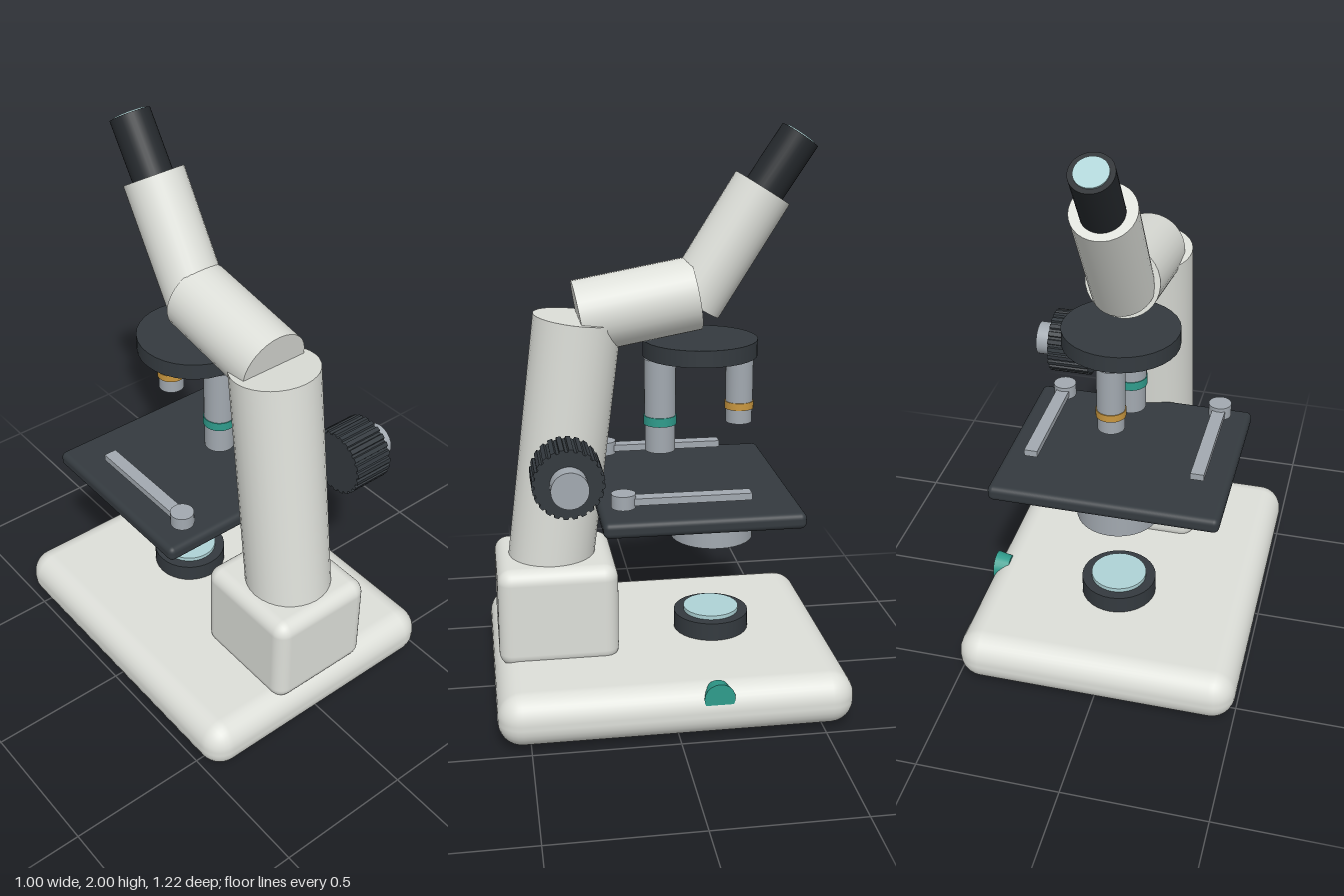
import * as THREE from 'three';
import { RoundedBoxGeometry } from 'three/addons/geometries/RoundedBoxGeometry.js';

const paint = (color) => new THREE.MeshStandardMaterial({ color });
const enamel = paint(0xdddfd9), dark = paint(0x343a3f), black = paint(0x25292d), steel = paint(0xa2a9b0);
const teal = paint(0x2f9c8c), amber = paint(0xc9973f), glass = paint(0xaed3d6);

export function createModel() {
  const model = new THREE.Group();

  const add = (name, geometry, material, x = 0, y = 0, z = 0, parent = model) => {
    const mesh = new THREE.Mesh(geometry, material);
    mesh.name = name;
    mesh.position.set(x, y, z);
    parent.add(mesh);
    return mesh;
  };
  // Upright cylinder between two heights
  const disc = (name, r, y0, y1, material, x = 0, z = 0, parent = model) =>
    add(name, new THREE.CylinderGeometry(r, r, y1 - y0, 32), material, x, (y0 + y1) / 2, z, parent);
  // Cylinder running between two [x, y, z] points
  const rod = (name, a, b, r0, r1, material, sides = 32) => {
    const from = new THREE.Vector3(...a), to = new THREE.Vector3(...b);
    const axis = to.clone().sub(from);
    const mesh = add(name, new THREE.CylinderGeometry(r1, r0, axis.length(), sides), material);
    mesh.position.copy(from).add(to).multiplyScalar(0.5);
    mesh.quaternion.setFromUnitVectors(new THREE.Vector3(0, 1, 0), axis.normalize());
    return mesh;
  };
  const box = (name, w, h, d, r, material, x, y, z) =>
    add(name, new RoundedBoxGeometry(w, h, d, 4, r), material, x, y, z);

  // Base, feet and pillar block
  box('base', 1, 0.185, 1.22, 0.085, enamel, 0, 0.0975, 0);
  for (const x of [-0.34, 0.34])
    for (const z of [-0.43, 0.43]) disc('foot', 0.075, 0, 0.03, black, x, z);
  box('pillarBlock', 0.4, 0.36, 0.42, 0.05, enamel, 0, 0.34, 0.38);

  // Lamp and power switch on the base
  disc('lampHousing', 0.135, 0.17, 0.255, dark, 0, -0.188);
  disc('lampLens', 0.1, 0.25, 0.27, glass, 0, -0.188);
  rod('powerSwitch', [0.44, 0.155, -0.13], [0.495, 0.155, -0.13], 0.042, 0.053, teal, 20);

  // Arm, head and viewing tube
  rod('arm', [0, 0.4, 0.405], [0, 1.363, 0.284], 0.152, 0.152, enamel);
  rod('head', [0, 1.363, 0.281], [0, 1.435, -0.119], 0.127, 0.127, enamel);
  rod('viewingTube', [0, 1.406, -0.111], [0, 1.788, -0.35], 0.107, 0.107, enamel);
  rod('eyepiece', [0, 1.76, -0.34], [0, 1.961, -0.474], 0.071, 0.071, black);
  rod('eyepieceLens', [0, 1.953, -0.469], [0, 1.965, -0.477], 0.054, 0.054, glass);

  // Nosepiece with two objectives
  disc('nosepiece', 0.2, 1.22, 1.278, dark, 0, -0.14);
  const objectives = [
    { z: 0, r: 0.055, bottom: 0.88, band: [0.976, 1.008], ring: teal },
    { z: -0.281, r: 0.048, bottom: 0.972, band: [1.022, 1.048], ring: amber },
  ];
  for (const { z, r, bottom, band, ring } of objectives) {
    const objective = new THREE.Group();
    objective.name = 'objective';
    model.add(objective);
    disc('objectiveBarrel', r, band[0], 1.21, steel, 0, z, objective);
    disc('objectiveTip', r * 0.96, bottom, band[0], steel, 0, z, objective);
    disc('objectiveRing', r + 0.003, band[0], band[1], ring, 0, z, objective);
  }

  // Stage, clips and condenser
  box('stage', 0.8, 0.055, 0.68, 0.02, dark, 0, 0.733, -0.097);
  for (const x of [-0.293, 0.293]) {
    add('stageClip', new THREE.BoxGeometry(0.047, 0.024, 0.43), steel, x, 0.802, -0.05);
    disc('clipKnob', 0.041, 0.78, 0.828, steel, x, 0.166);
  }
  disc('condenser', 0.147, 0.55, 0.715, steel, 0, -0.188);

  // Ribbed focus knob with its cap
  const rim = [], teeth = 24;
  for (let i = 0; i < teeth; i++)
    for (const [t, r] of [[0, 0.111], [0.3, 0.111], [0.4, 0.119], [0.9, 0.119]]) {
      const a = ((i + t) / teeth) * Math.PI * 2;
      rim.push(new THREE.Vector2(Math.cos(a) * r, Math.sin(a) * r));
    }
  const knob = new THREE.ExtrudeGeometry(new THREE.Shape(rim), { depth: 0.152, bevelEnabled: false });
  knob.rotateY(Math.PI / 2);
  add('focusKnob', knob, dark, 0.23, 0.897, 0.353);
  rod('focusKnobCap', [0.37, 0.897, 0.353], [0.442, 0.897, 0.353], 0.062, 0.062, steel);

  return model;
}
